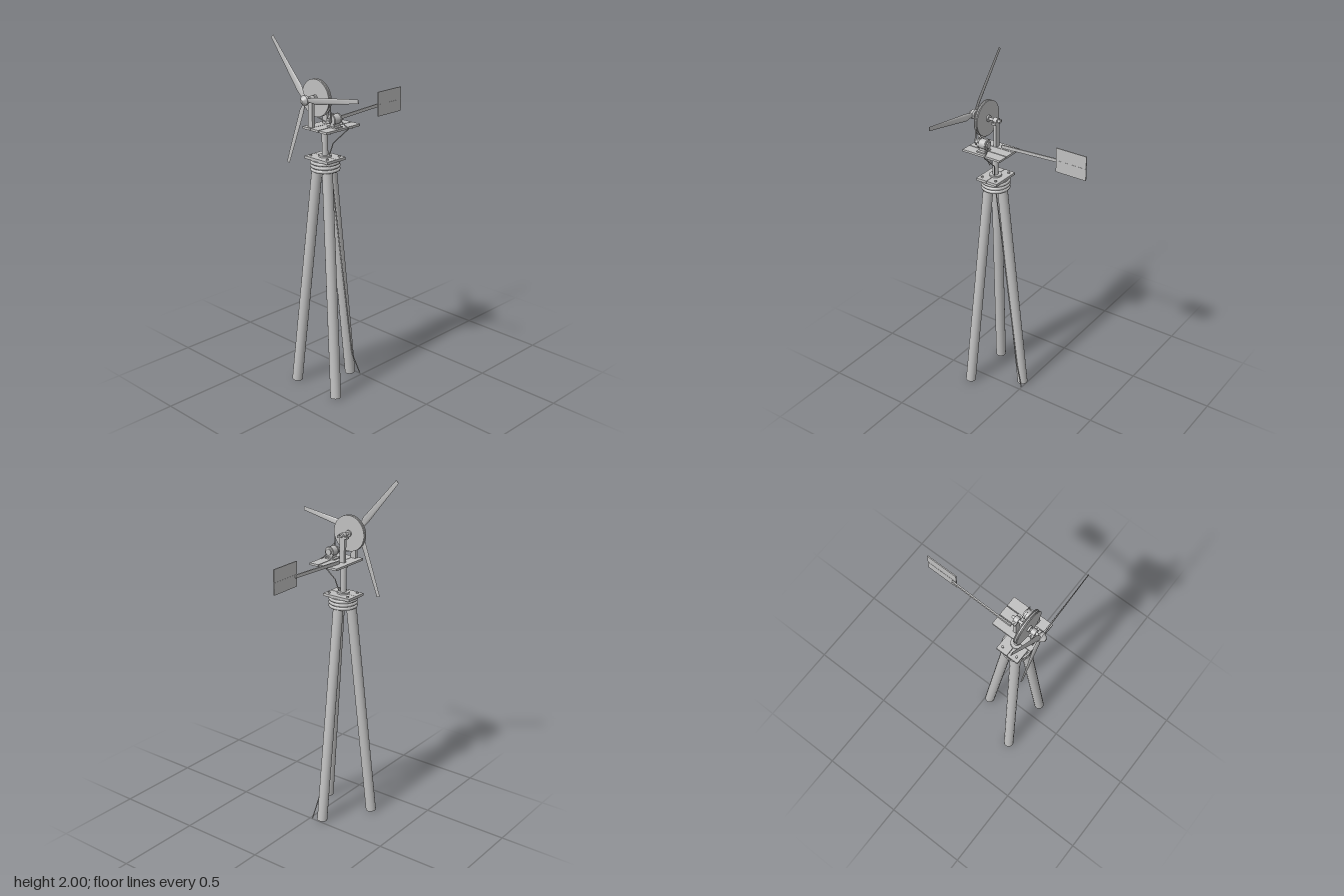
import * as THREE from 'three';
import { toCreasedNormals } from 'three/addons/utils/BufferGeometryUtils.js';

const steel = new THREE.MeshStandardMaterial({ color: 0xc0c0c0 });
steel.name = 'grey steel';

const AX = -0.07, AZ = 0.207, SHAFT_Y = 1.69; // tower axis and rotor shaft height
const V = (x, y, z) => new THREE.Vector3(x, y, z);

function add(parent, name, geometry, x = 0, y = 0, z = 0) {
  const mesh = new THREE.Mesh(geometry, steel);
  mesh.name = name;
  mesh.position.set(x, y, z);
  parent.add(mesh);
  return mesh;
}

// Box given by its min and max on each axis
function slab(parent, name, x0, x1, y0, y1, z0, z1) {
  return add(parent, name, new THREE.BoxGeometry(x1 - x0, y1 - y0, z1 - z0),
    (x0 + x1) / 2, (y0 + y1) / 2, (z0 + z1) / 2);
}

// Round bar between two points
function bar(parent, name, a, b, r0, r1 = r0, sides = 16) {
  const mesh = add(parent, name, new THREE.CylinderGeometry(r1, r0, a.distanceTo(b), sides));
  mesh.position.copy(a).add(b).multiplyScalar(0.5);
  mesh.quaternion.setFromUnitVectors(V(0, 1, 0), b.clone().sub(a).normalize());
  return mesh;
}

// Tapered, twisted blade along +y: [radius, chord, thickness, pitch, chord offset]
function bladeGeometry() {
  const sections = [
    [0.012, 0.018, 0.013, 0.35, 0], [0.035, 0.026, 0.011, 0.32, 0.001], [0.075, 0.04, 0.008, 0.25, 0.004],
    [0.22, 0.031, 0.006, 0.14, 0.002], [0.387, 0.022, 0.004, 0.06, 0],
  ];
  const n = 10, pos = [], idx = [];
  for (const [y, chord, thick, pitch, off] of sections) {
    for (let j = 0; j < n; j++) {
      const a = (j / n) * Math.PI * 2;
      const x = off + Math.cos(a) * chord / 2, z = -Math.sin(a) * thick / 2;
      pos.push(x * Math.cos(pitch) + z * Math.sin(pitch), y, z * Math.cos(pitch) - x * Math.sin(pitch));
    }
  }
  const last = (sections.length - 1) * n;
  for (let i = 0; i < last; i += n) {
    for (let j = 0; j < n; j++) {
      const k = (j + 1) % n;
      idx.push(i + j, i + k, i + n + k, i + j, i + n + k, i + n + j);
    }
  }
  for (let j = 1; j < n - 1; j++) idx.push(last, last + j, last + j + 1, 0, j + 1, j);
  const g = new THREE.BufferGeometry();
  g.setAttribute('position', new THREE.Float32BufferAttribute(pos, 3));
  g.setIndex(idx);
  return toCreasedNormals(g, 0.9);
}

// Outline of a belt round two wheels that are d apart along x
function beltOutline(path, R, r, d) {
  const a = Math.acos((R - r) / d);
  path.absarc(0, 0, R, a, Math.PI * 2 - a, false);
  path.absarc(d, 0, r, -a, a, false);
  path.closePath();
  return path;
}

function buildTower(model) {
  const tower = new THREE.Group();
  tower.name = 'tower';
  model.add(tower);

  // Three splayed legs, one to the rear
  for (let i = 0; i < 3; i++) {
    const a = -Math.PI / 2 + i * Math.PI * 2 / 3, c = Math.cos(a), s = Math.sin(a);
    bar(tower, 'leg', V(AX + c * 0.182, 0.004, AZ + s * 0.182), V(AX + c * 0.044, 1.3, AZ + s * 0.044), 0.03, 0.029);
  }

  // Ribbed collar that binds the legs
  add(tower, 'collar', new THREE.CylinderGeometry(0.073, 0.073, 0.063, 32), AX, 1.314, AZ);
  for (let i = 0; i < 3; i++) {
    add(tower, 'collarRing', new THREE.TorusGeometry(0.073, 0.009, 8, 32).rotateX(Math.PI / 2), AX, 1.293 + i * 0.02, AZ);
  }

  // Split top plate with corner bolts
  slab(tower, 'topPlateRear', AX - 0.087, AX + 0.087, 1.345, 1.36, AZ - 0.068, AZ - 0.001);
  slab(tower, 'topPlateFront', AX - 0.087, AX + 0.087, 1.345, 1.36, AZ + 0.001, AZ + 0.068);
  for (const sx of [-1, 1]) for (const sz of [-1, 1]) {
    add(tower, 'plateBolt', new THREE.CylinderGeometry(0.007, 0.007, 0.008, 6), AX + sx * 0.062, 1.364, AZ + sz * 0.045);
  }

  // Mast with flanges
  add(tower, 'mastFlange', new THREE.CylinderGeometry(0.034, 0.034, 0.01, 24), AX, 1.365, AZ);
  add(tower, 'mast', new THREE.CylinderGeometry(0.017, 0.017, 0.17, 24), AX, 1.445, AZ);
  add(tower, 'mastCollar', new THREE.CylinderGeometry(0.023, 0.023, 0.018, 24), AX, 1.518, AZ);
}

function buildHead(model) {
  const head = new THREE.Group();
  head.name = 'head';
  model.add(head);

  // Platform of three boards
  for (const [x0, x1] of [[-0.116, -0.057], [-0.054, 0.003], [0.008, 0.066]]) {
    slab(head, 'platformBoard', x0, x1, 1.528, 1.54, 0.08, 0.325);
  }
  for (const z of [0.12, 0.285]) slab(head, 'platformBatten', -0.1, 0.05, 1.52, 1.528, z - 0.008, z + 0.008);

  // Bearing posts with capped bearings
  for (const z of [0.303, 0.198]) {
    slab(head, 'bearingPost', AX - 0.016, AX + 0.016, 1.54, 1.68, z - 0.009, z + 0.009);
    slab(head, 'bearingFlange', AX - 0.032, AX + 0.032, 1.675, 1.687, z - 0.013, z + 0.013);
    add(head, 'bearing', new THREE.CylinderGeometry(0.017, 0.017, 0.025, 20).rotateX(Math.PI / 2), AX, SHAFT_Y, z);
    for (const s of [-1, 1]) {
      add(head, 'bearingBolt', new THREE.CylinderGeometry(0.004, 0.004, 0.006, 6), AX + s * 0.026, 1.69, z);
    }
  }
  bar(head, 'shaft', V(AX, SHAFT_Y, 0.17), V(AX, SHAFT_Y, 0.345), 0.008);

  // Large grooved drive wheel
  const rim = [[0, -0.011], [0.1, -0.011], [0.1, -0.007], [0.094, -0.004], [0.094, 0.004], [0.1, 0.007], [0.1, 0.011], [0, 0.011]];
  const wheel = new THREE.LatheGeometry(rim.map(p => new THREE.Vector2(...p)), 48).rotateX(Math.PI / 2);
  add(head, 'driveWheel', toCreasedNormals(wheel, 0.5), AX, SHAFT_Y, 0.262);
  bar(head, 'wheelHub', V(AX, SHAFT_Y, 0.242), V(AX, SHAFT_Y, 0.282), 0.018);

  // Generator on a small foot, with its pulley
  const gx = 0.018, gy = 1.583;
  bar(head, 'generator', V(gx, gy, 0.19), V(gx, gy, 0.246), 0.027, 0.027, 24);
  for (const z of [0.197, 0.239]) bar(head, 'generatorBand', V(gx, gy, z - 0.003), V(gx, gy, z + 0.003), 0.0295, 0.0295, 24);
  bar(head, 'generatorEndCap', V(gx, gy, 0.183), V(gx, gy, 0.191), 0.018);
  bar(head, 'generatorShaft', V(gx, gy, 0.24), V(gx, gy, 0.272), 0.005);
  bar(head, 'generatorPulley', V(gx, gy, 0.254), V(gx, gy, 0.27), 0.014);
  slab(head, 'generatorFoot', gx - 0.032, gx + 0.032, 1.54, 1.547, 0.195, 0.245);
  slab(head, 'generatorPedestal', gx - 0.015, gx + 0.015, 1.547, 1.565, 0.2, 0.24);
  slab(head, 'terminalBox', gx - 0.004, gx + 0.008, gy + 0.024, gy + 0.034, 0.232, 0.244);

  // Drive belt
  const dx = gx - AX, dy = gy - SHAFT_Y, d = Math.hypot(dx, dy);
  const outline = beltOutline(new THREE.Shape(), 0.099, 0.018, d);
  outline.holes.push(beltOutline(new THREE.Path(), 0.095, 0.014, d));
  const belt = new THREE.ExtrudeGeometry(outline, { depth: 0.007, bevelEnabled: false, curveSegments: 32 });
  add(head, 'driveBelt', toCreasedNormals(belt, 0.5), AX, SHAFT_Y, 0.2585).rotation.z = Math.atan2(dy, dx);

  // Tail boom and split vane
  const boom = slab(head, 'tailBoom', AX - 0.004, AX + 0.004, 1.548, 1.566, -0.213, 0.163);
  boom.rotation.x = Math.atan2(0.018, 0.375);
  slab(head, 'vaneLower', -0.063, -0.057, 1.505, 1.572, -0.376, -0.192);
  slab(head, 'vaneUpper', -0.063, -0.057, 1.576, 1.643, -0.376, -0.192);
  slab(head, 'vaneStrip', -0.062, -0.058, 1.57, 1.578, -0.376, -0.192);
}

function buildRotor(model) {
  const rotor = new THREE.Group();
  rotor.name = 'rotor';
  rotor.position.set(AX, SHAFT_Y, 0.345);
  model.add(rotor);

  // Nose cone
  const nose = [[0, -0.014], [0.02, -0.014], [0.027, -0.006], [0.027, 0.008], [0.009, 0.029], [0, 0.029]];
  const cone = new THREE.LatheGeometry(nose.map(p => new THREE.Vector2(...p)), 20).rotateX(Math.PI / 2);
  add(rotor, 'noseCone', toCreasedNormals(cone, 0.5));

  // Three blades
  const blade = bladeGeometry();
  for (let i = 0; i < 3; i++) {
    add(rotor, 'blade', blade).rotation.z = THREE.MathUtils.degToRad(8.8 - 90 + i * 120);
  }
}

// Power cable from the generator, down the mast and along the rear leg
function buildCable(model) {
  const runs = [
    [V(0.032, 1.57, 0.187), V(0.045, 1.553, 0.18), V(0.075, 1.533, 0.175), V(-0.03, 1.437, 0.185), V(-0.05, 1.357, 0.2)],
    [V(-0.045, 1.29, 0.19), V(-0.036, 0.14, 0.042), V(-0.018, 0.006, -0.001)],
  ];
  for (const run of runs) {
    const path = new THREE.CurvePath();
    for (let i = 1; i < run.length; i++) path.add(new THREE.LineCurve3(run[i - 1], run[i]));
    add(model, 'cable', new THREE.TubeGeometry(path, 48, 0.003, 8));
  }
}

export function createModel() {
  const model = new THREE.Group();
  model.name = 'windTurbine';
  buildTower(model);
  buildHead(model);
  buildRotor(model);
  buildCable(model);
  return model;
}
